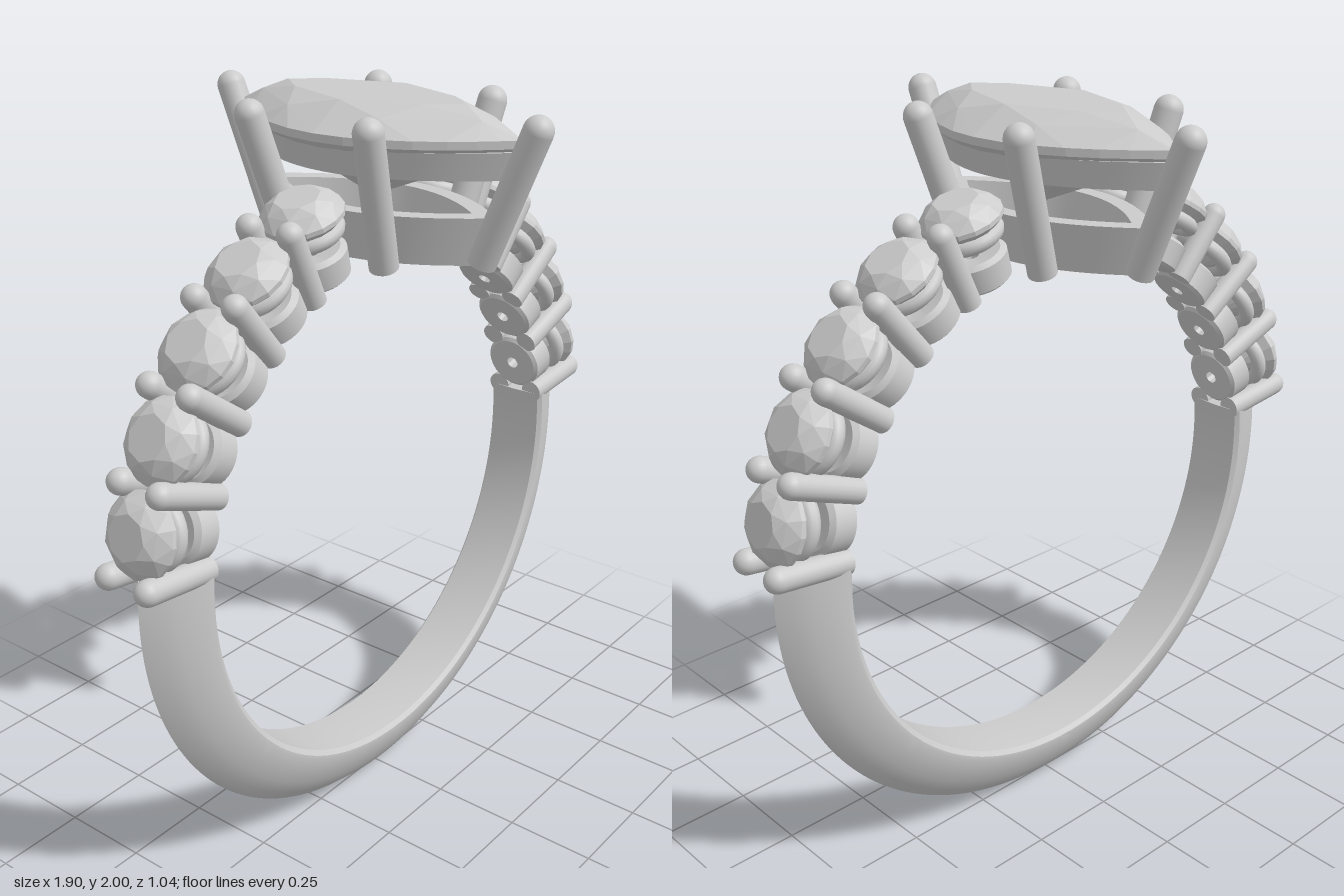
import * as THREE from 'three';
import { toCreasedNormals } from 'three/addons/utils/BufferGeometryUtils.js';
import { ConvexGeometry } from 'three/addons/geometries/ConvexGeometry.js';

const CY = 0.895;                       // height of the ring's centre
const metal = new THREE.MeshStandardMaterial({ color: 0xcccccc });
const gem = new THREE.MeshStandardMaterial({ color: 0xcccccc, flatShading: true });
const V = (x, y, z) => new THREE.Vector3(x, y, z);
const rad = THREE.MathUtils.degToRad;

function mesh(name, geometry, material = metal) {
  const m = new THREE.Mesh(geometry, material);
  m.name = name;
  return m;
}

// Skin a series of closed cross-sections, optionally capping both ends
function loft(rings, capped, crease = 0.5) {
  const n = rings[0].length, pos = rings.flat().flatMap(p => [p.x, p.y, p.z]), idx = [];
  for (let j = 0; j < rings.length - 1; j++) {
    for (let i = 0; i < n; i++) {
      const k = (i + 1) % n, a = j * n + i, b = j * n + k;
      idx.push(a, b, b + n, a, b + n, a + n);
    }
  }
  if (capped) {
    const e = (rings.length - 1) * n;
    for (let i = 1; i < n - 1; i++) idx.push(0, i + 1, i, e, e + i, e + i + 1);
  }
  const g = new THREE.BufferGeometry();
  g.setAttribute('position', new THREE.Float32BufferAttribute(pos, 3));
  g.setIndex(idx);
  return toCreasedNormals(g, crease);
}

// Pointed oval outline at height y, half length l (z) and half width w (x)
function marquise(l, w, y, n = 48, shift = 0) {
  return Array.from({ length: n }, (_, i) => {
    const t = (i + shift) / n * Math.PI * 2;
    return V(w * Math.sin(t) * Math.abs(Math.sin(t)), y, l * Math.cos(t));
  });
}

function circle(r, y, n, shift = 0) {
  return Array.from({ length: n }, (_, i) => {
    const t = (i + shift) / n * Math.PI * 2;
    return V(r * Math.sin(t), y, r * Math.cos(t));
  });
}

// Round wire from a to b with a domed tip at b
function prong(name, a, b, r) {
  const g = new THREE.Group();
  g.name = name;
  const dir = b.clone().sub(a), len = dir.length();
  const wire = mesh(name + 'Wire', new THREE.CylinderGeometry(r, r, len, 20));
  wire.position.y = len / 2;
  const tip = mesh(name + 'Tip', new THREE.SphereGeometry(r, 20, 8, 0, Math.PI * 2, 0, Math.PI / 2));
  tip.position.y = len;
  g.add(wire, tip);
  g.position.copy(a);
  g.quaternion.setFromUnitVectors(V(0, 1, 0), dir.normalize());
  return g;
}

// Lower band with a knife-edged outside
function band() {
  const side = [[0.09, 0.745], [0.079, 0.785], [0.061, 0.825], [0.036, 0.862]];
  const section = [[-0.09, 0.735], [-0.08, 0.722], [0, 0.718], [0.08, 0.722], [0.09, 0.735], ...side, [0, 0.895],
    ...side.slice().reverse().map(([z, r]) => [-z, r])];
  const rings = [];
  for (let i = 0; i <= 96; i++) {
    const t = rad(173 + i / 96 * 194);
    rings.push(section.map(([z, r]) => V(r * Math.cos(t), CY + r * Math.sin(t), z)));
  }
  return mesh('band', loft(rings, true, 0.6));
}

// Hollow marquise frame between two heights
function frame(name, y0, l0, w0, y1, l1, w1, wall) {
  const bottom = marquise(l0, w0, y0);
  return mesh(name, loft([
    bottom, marquise(l1, w1, y1),
    marquise(l1 - wall * 1.6, w1 - wall, y1), marquise(l0 - wall * 1.6, w0 - wall, y0), bottom,
  ], false));
}

// Centre stone with its frames and six prongs
function head() {
  const g = new THREE.Group();
  g.name = 'head';
  g.add(mesh('centreStone', new ConvexGeometry([
    V(0, 1.74, 0),
    ...marquise(0.435, 0.237, 1.915, 32), ...marquise(0.435, 0.237, 1.935, 32),
    ...marquise(0.37, 0.19, 1.974, 8, 0.5),
    ...marquise(0.28, 0.135, 2.0, 8),
  ]), gem));
  g.add(frame('upperFrame', 1.835, 0.4, 0.195, 1.905, 0.425, 0.215, 0.05));
  g.add(frame('lowerFrame', 1.615, 0.335, 0.145, 1.74, 0.375, 0.17, 0.045));
  for (const s of [1, -1]) {
    g.add(prong('endProng', V(0, 1.62, 0.335 * s), V(0, 1.962, 0.48 * s), 0.038));
    for (const q of [1, -1]) {
      g.add(prong('sideProng', V(0.145 * q, 1.61, 0.145 * s), V(0.255 * q, 1.96, 0.183 * s), 0.038));
    }
  }
  return g;
}

// One side stone in its cup and ring; local y points away from the ring's centre
function setting() {
  const g = new THREE.Group();
  g.name = 'sideSetting';
  const cup = [[0.018, 0.79], [0.018, 0.718], [0.076, 0.718], [0.086, 0.726], [0.09, 0.79], [0.075, 0.8], [0.018, 0.79]];
  g.add(mesh('cup', toCreasedNormals(
    new THREE.LatheGeometry(cup.map(p => new THREE.Vector2(...p)), 32), 0.6)));
  const ring = mesh('seatRing', new THREE.TorusGeometry(0.076, 0.022, 12, 36).rotateX(Math.PI / 2));
  ring.position.y = 0.852;
  g.add(ring);
  g.add(mesh('sideStone', new ConvexGeometry([
    V(0, 0.795, 0),
    ...circle(0.108, 0.89, 16), ...circle(0.108, 0.902, 16),
    ...circle(0.086, 0.93, 8, 0.5), ...circle(0.058, 0.947, 8),
  ]), gem));
  return g;
}

// Row of five stones and shared prongs on one shoulder (s = 1 or -1)
function shoulder(s) {
  const g = new THREE.Group();
  g.name = s > 0 ? 'leftShoulder' : 'rightShoulder';
  for (let k = 0; k < 5; k++) {
    const a = rad(7.3 + 14.3 * k), b = rad(14.5 + 14.3 * k);
    const set = setting();
    set.position.y = CY;
    set.rotation.z = s * (b - Math.PI / 2);
    g.add(set);
    const at = (r, z) => V(s * r * Math.cos(a), CY + r * Math.sin(a), z);
    for (const q of [1, -1]) g.add(prong('sideStoneProng', at(0.722, 0.058 * q), at(0.927, 0.064 * q), 0.033));
  }
  return g;
}

export function createModel() {
  const model = new THREE.Group();
  model.name = 'ring';
  model.add(band(), head(), shoulder(1), shoulder(-1));
  return model;
}
